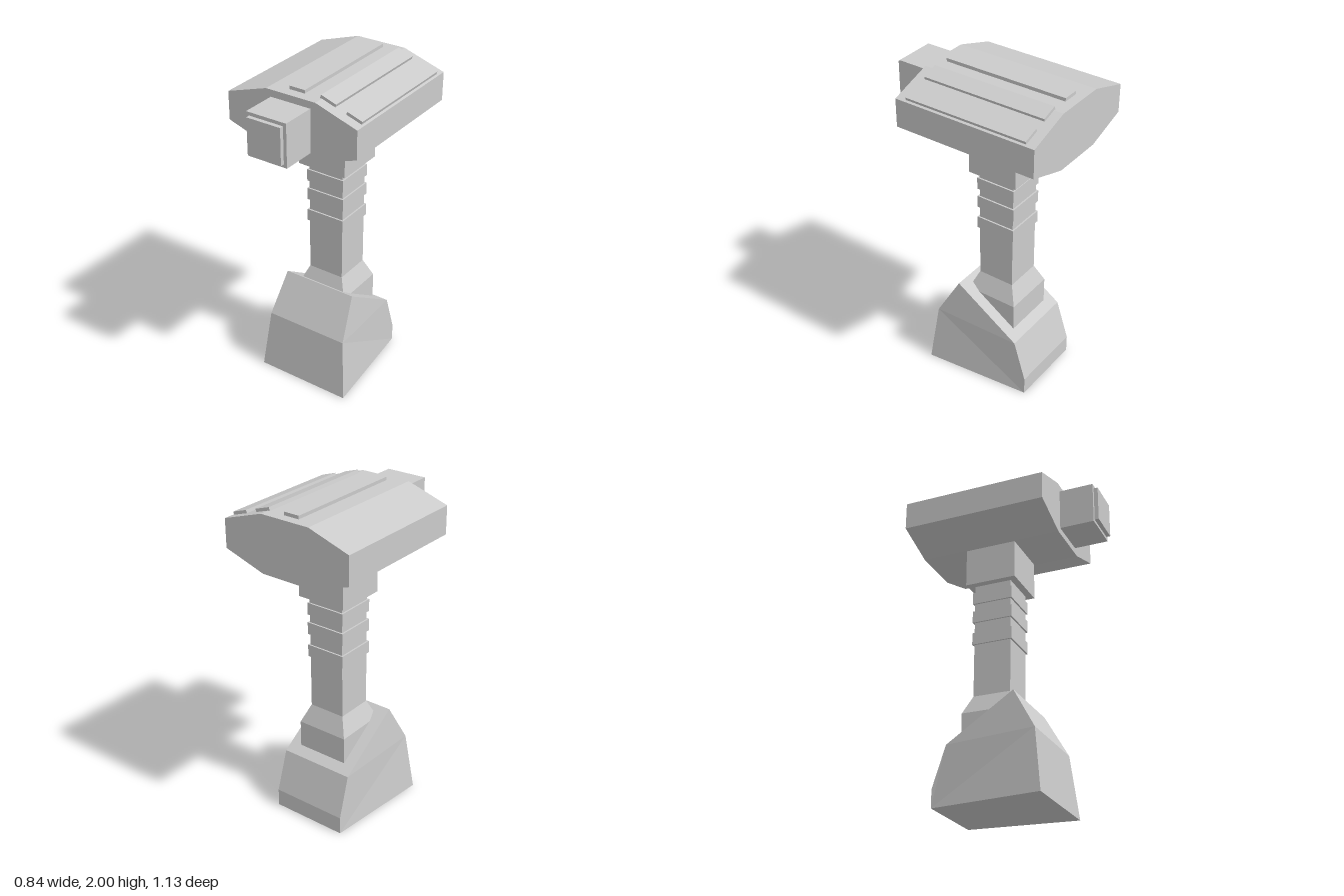
import * as THREE from 'three';

const material = new THREE.MeshStandardMaterial({ color: 0xcccccc, flatShading: true, side: THREE.DoubleSide });
const AXIS_Z = -0.117; // the post stands slightly behind the centre

function add(parent, name, geometry, x = 0, y = 0, z = 0) {
  const mesh = new THREE.Mesh(geometry, material);
  mesh.name = name;
  mesh.position.set(x, y, z);
  parent.add(mesh);
  return mesh;
}

// Box given by its extents in y and z, centred on x = 0
function block(parent, name, halfX, y0, y1, z0, z1) {
  return add(parent, name, new THREE.BoxGeometry(2 * halfX, y1 - y0, z1 - z0), 0, (y0 + y1) / 2, (z0 + z1) / 2);
}

// Side profile of [z, y, half width] points, spanned between mirrored sides
function wedge(profile) {
  const n = profile.length;
  const positions = [];
  for (const side of [1, -1]) for (const [z, y, w] of profile) positions.push(side * w, y, z);
  const index = [];
  for (let i = 0; i < n; i++) {
    const j = (i + 1) % n;
    index.push(i, i + n, j, j, i + n, j + n);
  }
  const contour = profile.map(([z, y]) => new THREE.Vector2(-z, y));
  for (const [a, b, c] of THREE.ShapeUtils.triangulateShape(contour, [])) {
    // contour runs clockwise, triangles keep the contour's own winding
    const p = contour[a], q = contour[b], r = contour[c];
    const ccw = (q.x - p.x) * (r.y - p.y) - (q.y - p.y) * (r.x - p.x) > 0;
    const [s, t] = ccw ? [b, c] : [c, b];
    index.push(a, s, t, a + n, t + n, s + n);
  }
  const geometry = new THREE.BufferGeometry();
  geometry.setAttribute('position', new THREE.Float32BufferAttribute(positions, 3));
  geometry.setIndex(index);
  const flat = geometry.toNonIndexed();
  flat.computeVertexNormals();
  return flat;
}

export function createModel() {
  const model = new THREE.Group();
  model.name = 'pedestalDevice';

  // Foot: faceted wedge, wider at the front
  add(model, 'foot', wedge([
    [0.255, 0, 0.305], [0.21, 0.38, 0.267], [0.07, 0.63, 0.238],
    [-0.34, 0.36, 0.237], [-0.42, 0.11, 0.24], [-0.42, 0, 0.24],
  ]));

  // Post with its flared socket
  block(model, 'socket', 0.165, 0.3, 0.565, AXIS_Z - 0.165, AXIS_Z + 0.165);
  const flare = new THREE.CylinderGeometry(0.116 * Math.SQRT2, 0.165 * Math.SQRT2, 0.115, 4, 1);
  flare.rotateY(Math.PI / 4);
  add(model, 'flare', flare, 0, 0.6225, AXIS_Z);
  block(model, 'post', 0.116, 0.68, 1.41, AXIS_Z - 0.116, AXIS_Z + 0.116);
  for (const [y0, y1] of [[1.01, 1.085], [1.155, 1.23], [1.28, 1.355]]) {
    block(model, 'collar', 0.126, y0, y1, AXIS_Z - 0.126, AXIS_Z + 0.126);
  }
  block(model, 'neck', 0.158, 1.4, 1.65, AXIS_Z - 0.159, AXIS_Z + 0.159);

  // Head: eight-sided prism running front to back
  const outline = [[-0.16, 1.638], [0.16, 1.638], [0.422, 1.722], [0.422, 1.895],
    [0.16, 1.98], [-0.16, 1.98], [-0.422, 1.895], [-0.422, 1.722]];
  const shape = new THREE.Shape(outline.map(([x, y]) => new THREE.Vector2(x, y)));
  add(model, 'head', new THREE.ExtrudeGeometry(shape, { depth: 0.893, bevelEnabled: false }), 0, 0, -0.565);

  // Snout and its face plate
  block(model, 'snout', 0.129, 1.678, 1.938, 0.3, 0.54);
  block(model, 'facePlate', 0.109, 1.698, 1.918, 0.52, 0.565);

  // Raised ribs, one on the crown and two on the sloping side
  const slope = Math.atan2(0.085, 0.262);
  for (const [x, y, tilt] of [[0, 1.985, 0], [0.197, 1.971, slope], [0.361, 1.918, slope]]) {
    add(model, 'rib', new THREE.BoxGeometry(0.1, 0.03, 0.773), x, y, -0.12).rotation.z = -tilt;
  }
  return model;
}
